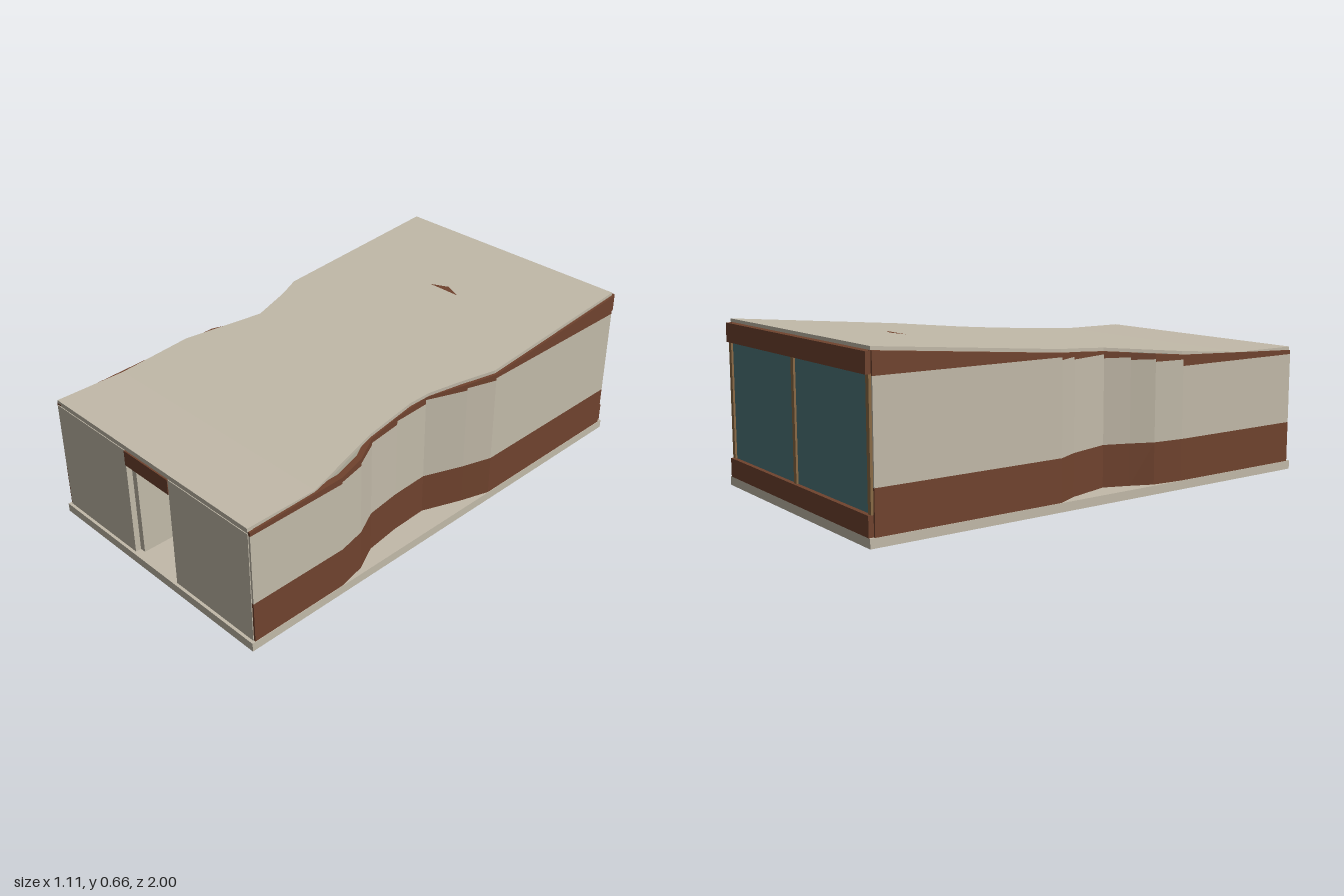
import * as THREE from 'three';

const mat = (name, color) => Object.assign(new THREE.MeshStandardMaterial({ color }), { name });

const ROOF = 0.013;          // roof thickness
const CREASE = 0.69;         // where the flat roof starts to rise
const roofTop = z => 0.515 + Math.max(0, CREASE - z) * 0.0868;

export function createModel() {
  const model = new THREE.Group();
  model.name = 'pavilion';
  const plaster = mat('plaster', 0xc2baa9);
  const timber = mat('brown timber', 0x70432e);
  const glass = mat('teal glass', 0x4f777c);
  const frame = mat('tan frame', 0x8a6a45);
  const inner = mat('interior plaster', 0xb5b2a1);

  const add = (name, geometry, material, parent = model) => {
    const mesh = new THREE.Mesh(geometry, material);
    mesh.name = name;
    parent.add(mesh);
    return mesh;
  };
  // Box given by its extents
  const box = (name, material, x0, x1, y0, y1, z0, z1) => {
    const g = new THREE.BoxGeometry(x1 - x0, y1 - y0, z1 - z0);
    g.translate((x0 + x1) / 2, (y0 + y1) / 2, (z0 + z1) / 2);
    return add(name, g, material);
  };

  box('baseSlab', plaster, -0.556, 0.556, 0, 0.035, -1, 1);

  // Front wall with a doorway and a timber lintel
  for (const s of [-1, 1]) {
    box('frontWall', plaster, Math.min(s * 0.125, s * 0.546), Math.max(s * 0.125, s * 0.546), 0.035, 0.492, 0.965, 0.988);
  }
  box('doorLintel', timber, -0.125, 0.125, 0.43, 0.492, 0.965, 0.991);
  box('frontFascia', plaster, -0.546, 0.546, 0.492, 0.503, 0.965, 0.985);

  // Hall and partition behind the doorway
  box('hallWall', plaster, -0.125, -0.1, 0.035, 0.43, 0.45, 0.965);
  box('partition', inner, -0.09, 0.05, 0.035, 0.41, -0.1, 0.2);
  box('partitionCap', timber, -0.1, 0.05, 0.41, 0.42, -0.1, 0.205);

  // Glazed back wall
  box('backSill', timber, -0.546, 0.546, 0.035, 0.11, -1, -0.965);
  box('backHeader', timber, -0.546, 0.546, 0.57, 0.645, -1, -0.965);
  box('backGlass', glass, -0.546, 0.546, 0.11, 0.57, -0.982, -0.972);
  for (const x of [-0.537, 0, 0.537]) {
    box('backPost', frame, x - 0.01, x + 0.01, 0.11, 0.57, -0.99, -0.966);
  }

  // One straight wall piece between plan points p and q, outer face on the given side
  const wallPiece = (p, q, side, y0, yp, yq) => {
    const g = new THREE.BoxGeometry(1, 1, 1);
    const a = g.attributes.position;
    for (let i = 0; i < a.count; i++) {
      const end = a.getX(i) > 0 ? q : p;
      const top = a.getX(i) > 0 ? yq : yp;
      const x = end[0] - (a.getZ(i) > 0 ? 0 : side * 0.025);
      a.setXYZ(i, x, a.getY(i) > 0 ? top : y0, end[1]);
    }
    const flat = g.toNonIndexed();
    flat.computeVertexNormals();
    return flat;
  };

  // Waisted side walls: timber base, plaster panels with stepped tops, timber up to the roof
  const sideWall = (name, points, side, tops) => {
    const group = new THREE.Group();
    group.name = name;
    model.add(group);
    for (let i = 0; i < tops.length; i++) {
      const [p, q] = side > 0 ? [points[i], points[i + 1]] : [points[i + 1], points[i]];
      const t = tops[i];
      const under = z => roofTop(z) - ROOF - 0.001;
      add('timberBase', wallPiece(p, q, side, 0.035, 0.2, 0.2), timber, group);
      add('plasterPanel', wallPiece(p, q, side, 0.2, t, t), plaster, group);
      add('timberTop', wallPiece(p, q, side, t, under(p[1]), under(q[1])), timber, group);
    }
  };
  sideWall('leftWall', [
    [0.554, 0.985], [0.554, 0.57], [0.53, 0.455], [0.477, 0.35], [0.458, 0.2],
    [0.452, 0.04], [0.515, -0.12], [0.554, -0.24], [0.554, -0.98],
  ], 1, [0.485, 0.492, 0.502, 0.512, 0.527, 0.545, 0.555, 0.565]);
  sideWall('rightWall', [
    [-0.554, 0.985], [-0.554, 0.38], [-0.54, 0.25], [-0.5, 0.16],
    [-0.462, 0.06], [-0.51, -0.12], [-0.554, -0.21], [-0.554, -0.98],
  ], -1, [0.485, 0.51, 0.52, 0.53, 0.545, 0.555, 0.565]);

  // Roof: flat front strip, then a waisted plate rising to the back
  box('frontRoof', plaster, -0.545, 0.545, 0.515 - ROOF, 0.515, CREASE, 0.988);
  const outline = [
    [-0.545, CREASE], [0.545, CREASE], [0.468, 0.35], [0.447, 0.12], [0.455, 0.03],
    [0.495, -0.1], [0.545, -0.24], [0.545, -0.98], [-0.545, -0.98],
    [-0.545, -0.21], [-0.505, -0.11], [-0.457, 0.06], [-0.545, 0.38],
  ];
  const roof = new THREE.ExtrudeGeometry(
    new THREE.Shape(outline.map(([x, z]) => new THREE.Vector2(x, -z))),
    { depth: ROOF, bevelEnabled: false });
  roof.rotateX(-Math.PI / 2);
  const rp = roof.attributes.position;
  for (let i = 0; i < rp.count; i++) rp.setY(i, rp.getY(i) + roofTop(rp.getZ(i)) - ROOF);
  roof.computeVertexNormals();
  add('slopedRoof', roof, plaster);

  // Small timber peak showing through the roof
  const peak = new THREE.BufferGeometry().setFromPoints(
    [[-0.075, -0.56], [0.075, -0.56], [0, -0.59]].map(([x, z]) => new THREE.Vector3(x, roofTop(z) + 0.002, z)));
  peak.computeVertexNormals();
  add('roofPeak', peak, timber);

  return model;
}
